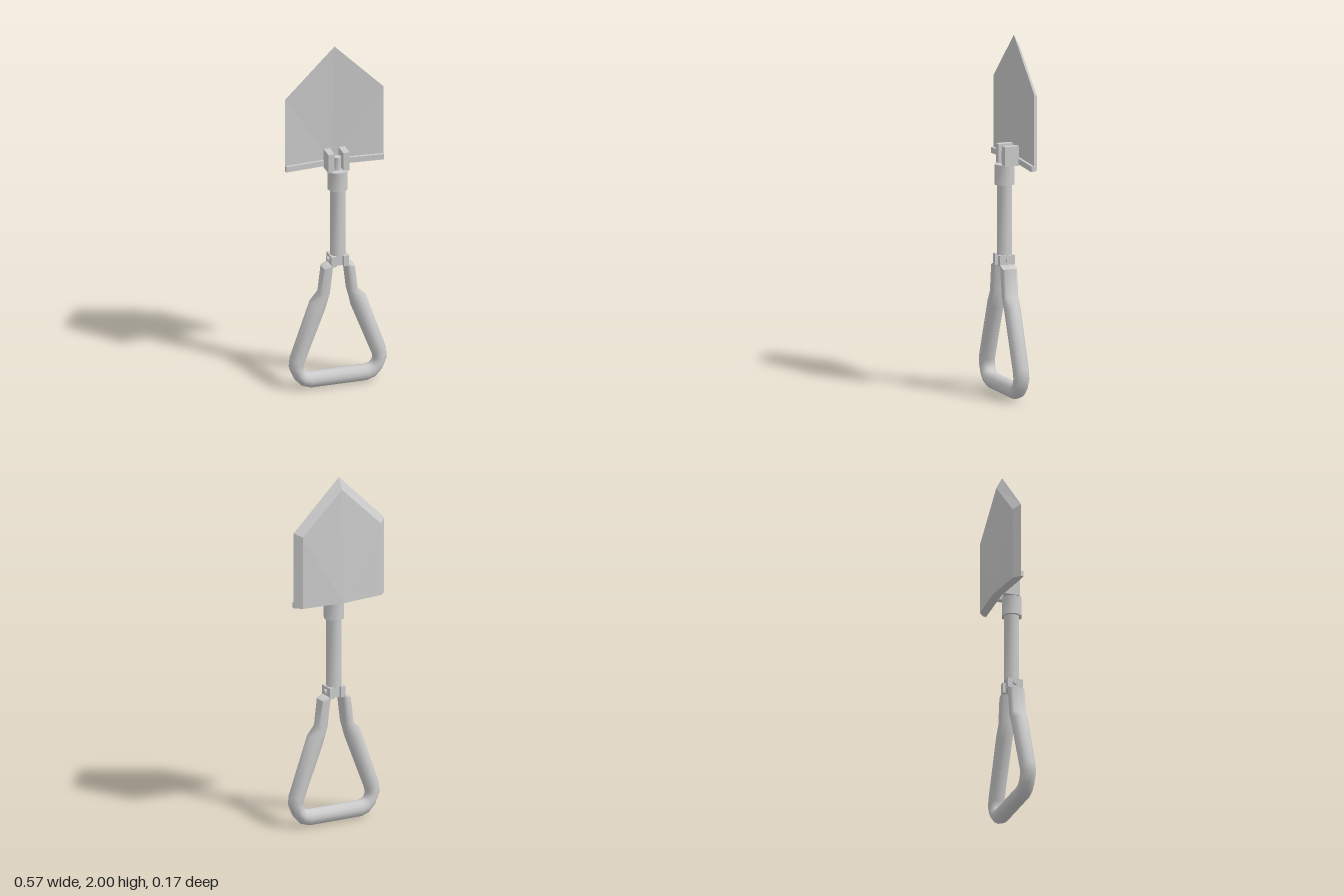
import * as THREE from 'three';
import { toCreasedNormals } from 'three/addons/utils/BufferGeometryUtils.js';

const AXIS_Z = 0.028; // depth of the shaft axis

export function createModel() {
  const group = new THREE.Group();
  const grey = new THREE.MeshStandardMaterial({ color: 0xcccccc });

  const add = (name, geometry, x = 0, y = 0, z = 0) => {
    const mesh = new THREE.Mesh(geometry, grey);
    mesh.name = name;
    mesh.position.set(x, y, z);
    group.add(mesh);
    return mesh;
  };
  const box = (name, w, h, d, x, y, z) => add(name, new THREE.BoxGeometry(w, h, d), x, y, z);
  const post = (name, r, y0, y1, z = AXIS_Z, sides = 8) =>
    add(name, toCreasedNormals(new THREE.CylinderGeometry(r, r, y1 - y0, sides), 0.9), 0, (y0 + y1) / 2, z);

  add('blade', bladeGeometry());

  // Shallow V-shaped lip along the foot of the blade
  const lip = new THREE.Shape([
    [-0.283, 0.028], [-0.28, 0.012], [0, 0.034], [0.28, 0.012], [0.283, 0.028], [0, 0.051],
  ].map(([x, y]) => new THREE.Vector2(x, y)));
  const lipGeometry = new THREE.ExtrudeGeometry(lip, { depth: 0.032, bevelEnabled: false });
  add('bladeLip', lipGeometry.rotateX(-Math.PI / 2), 0, 1.288, 0);

  // Shaft with locking collar and the stub between the hinge lugs
  post('shaft', 0.044, 0.78, 1.2);
  post('collar', 0.058, 1.172, 1.285);
  post('hingeStub', 0.022, 1.28, 1.36, 0.022);

  // Lower hinge: tang held between two ears by a pin
  box('tang', 0.036, 0.07, 0.06, 0, 0.755, AXIS_Z);
  const pin = post('hingePin', 0.014, 0, 0.126);
  pin.rotation.z = Math.PI / 2;
  pin.position.set(0, 0.755, AXIS_Z);

  for (const s of [-1, 1]) {
    box('hingeLug', 0.036, 0.11, 0.085, s * 0.043, 1.335, 0.0095);
    box('handleEar', 0.029, 0.062, 0.088, s * 0.035, 0.75, AXIS_Z + 0.002);
  }

  add('handle', handleGeometry());
  return group;
}

function fromTriangles(positions, crease) {
  const geometry = new THREE.BufferGeometry();
  geometry.setAttribute('position', new THREE.Float32BufferAttribute(positions, 3));
  return toCreasedNormals(geometry, crease);
}

// Pointed blade, dished in front, ridged behind, with bevelled rims
function bladeGeometry() {
  const positions = [];
  for (const s of [1, -1]) {
    const p = (x, y, z) => [s * x, y, z];
    const frontFoot = p(0, 1.288, -0.05), frontCorner = p(0.283, 1.288, -0.028);
    const frontShoulder = p(0.283, 1.72, -0.028), frontTip = p(0, 2, -0.028);
    const backFoot = p(0, 1.288, -0.085), backCorner = p(0.245, 1.288, -0.062);
    const backShoulder = p(0.245, 1.7, -0.062), backTip = p(0, 1.935, -0.062);
    const quads = [
      [frontFoot, frontCorner, frontShoulder, frontTip],
      [backFoot, backTip, backShoulder, backCorner],
      [frontCorner, backCorner, backShoulder, frontShoulder],
      [frontShoulder, backShoulder, backTip, frontTip],
      [frontFoot, backFoot, backCorner, frontCorner],
    ];
    for (const q of quads) {
      const [a, b, c, d] = s > 0 ? q : [q[0], q[3], q[2], q[1]];
      if (s > 0) positions.push(...a, ...b, ...c, ...a, ...c, ...d);
      else positions.push(...a, ...b, ...c, ...a, ...c, ...d);
    }
  }
  return fromTriangles(positions, 0.05);
}

// Triangular grip: rings between outer and inner outline, flattened at the top
function handleGeometry() {
  // outer x, outer y, inner x, inner y, roundness (1 = round, lower = boxier)
  const half = [
    [0.05, 0.73, 0.03, 0.725, 0.5],
    [0.09, 0.712, 0.037, 0.705, 0.5],
    [0.11, 0.56, 0.053, 0.56, 0.6],
    [0.16, 0.515, 0.073, 0.465, 1],
    [0.275, 0.185, 0.196, 0.15, 1],
    [0.28, 0.13, 0.2, 0.125, 1],
    [0.25, 0.06, 0.195, 0.108, 1],
    [0.21, 0.017, 0.182, 0.097, 1],
    [0.16, 0, 0.162, 0.092, 1],
  ];
  const mirrored = half.map(([ox, oy, ix, iy, e]) => [-ox, oy, -ix, iy, e]).reverse();
  const sides = 12;
  const rings = [...half, ...mirrored].map(([ox, oy, ix, iy, e]) => {
    const ring = [];
    for (let i = 0; i < sides; i++) {
      const a = (i / sides) * Math.PI * 2;
      const soft = (v) => Math.sign(v) * Math.pow(Math.abs(v), e);
      const u = soft(Math.cos(a)) / 2;
      ring.push([
        (ox + ix) / 2 + (ox - ix) * u,
        (oy + iy) / 2 + (oy - iy) * u,
        AXIS_Z + 0.002 + 0.045 * soft(Math.sin(a)),
      ]);
    }
    return ring;
  });

  const positions = [];
  for (let r = 0; r < rings.length - 1; r++) {
    for (let i = 0; i < sides; i++) {
      const j = (i + 1) % sides;
      const a = rings[r][i], b = rings[r + 1][i], c = rings[r + 1][j], d = rings[r][j];
      positions.push(...a, ...c, ...b, ...a, ...d, ...c);
    }
  }
  // End caps
  const first = rings[0], last = rings[rings.length - 1];
  for (let i = 1; i < sides - 1; i++) {
    positions.push(...first[0], ...first[i + 1], ...first[i]);
    positions.push(...last[0], ...last[i], ...last[i + 1]);
  }
  // Rings run down the left leg, so flip the winding if the volume is negative
  let volume = 0;
  const v = [0, 1, 2].map(() => new THREE.Vector3());
  for (let i = 0; i < positions.length; i += 9) {
    v.forEach((p, k) => p.fromArray(positions, i + 3 * k));
    volume += v[0].dot(v[1].clone().cross(v[2]));
  }
  if (volume < 0) {
    for (let i = 0; i < positions.length; i += 9) {
      for (let k = 0; k < 3; k++) {
        [positions[i + 3 + k], positions[i + 6 + k]] = [positions[i + 6 + k], positions[i + 3 + k]];
      }
    }
  }
  return fromTriangles(positions, 0.9);
}
